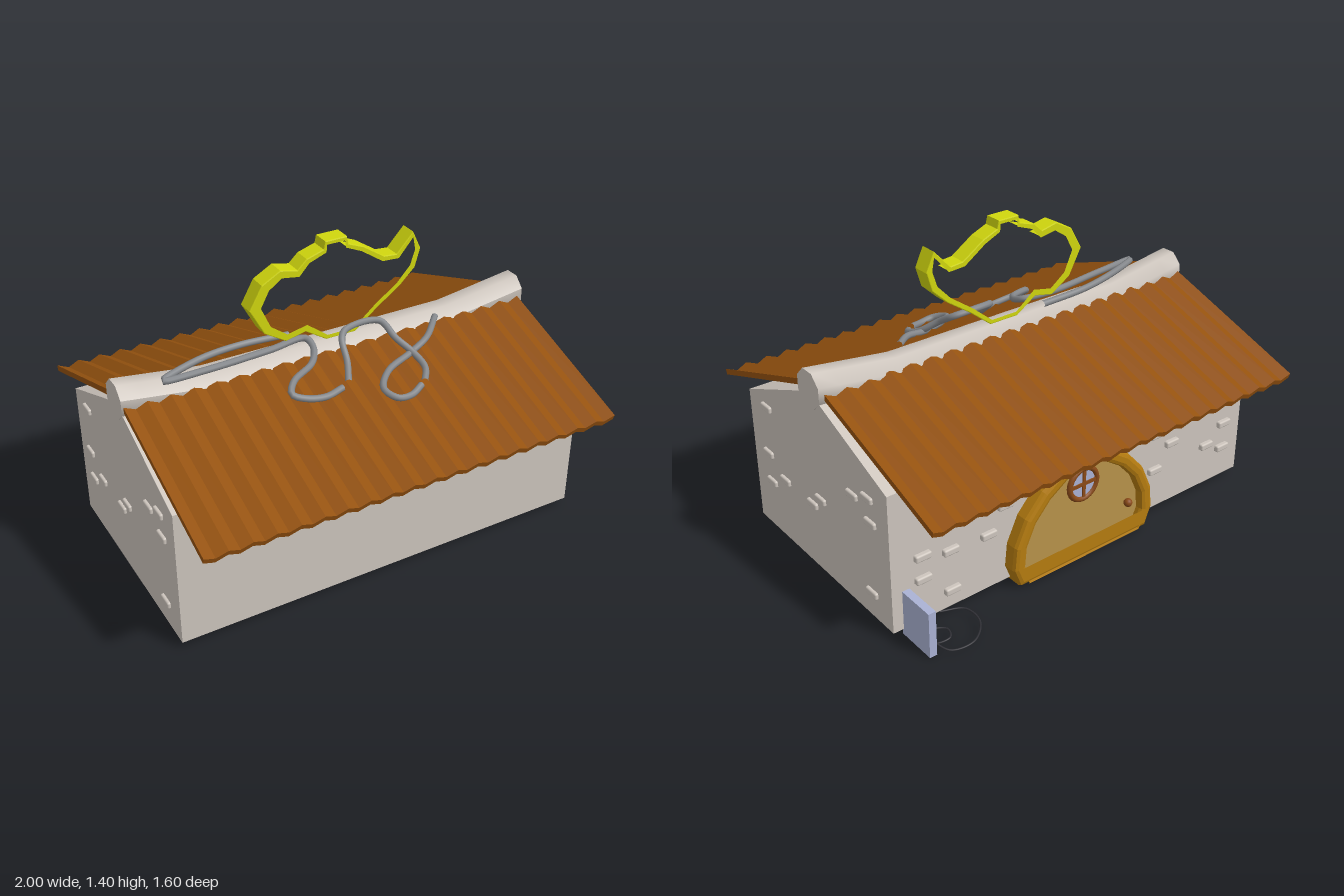
import * as THREE from 'three';
import { RoundedBoxGeometry } from 'three/addons/geometries/RoundedBoxGeometry.js';

const mat = (name, color) => {
  const m = new THREE.MeshStandardMaterial({ color });
  m.name = name;
  return m;
};
const V2 = (p) => new THREE.Vector2(p[0], p[1]);
const V3 = (p) => new THREE.Vector3(...p);
const extrude = (shape, depth, bevel = 0) => new THREE.ExtrudeGeometry(shape, {
  depth, bevelEnabled: bevel > 0, bevelSize: bevel, bevelThickness: bevel, bevelOffset: -bevel, bevelSegments: 2, curveSegments: 24,
});

export function createModel() {
  const stone = mat('stone', 0xcdc5bd);
  const roofBrown = mat('roof brown', 0x95520f);
  const signYellow = mat('sign yellow', 0xd0d60e);
  const cableGrey = mat('cable grey', 0x85888c);
  const frameWood = mat('frame wood', 0xb57c10);
  const doorWood = mat('door wood', 0xb8924a);
  const trim = mat('trim brown', 0x8a4a18);
  const lilac = mat('lilac metal', 0xaab2d4);
  const dark = mat('dark', 0x303036);

  const model = new THREE.Group();
  model.name = 'house';
  const add = (name, geometry, material, x = 0, y = 0, z = 0, parent = model) => {
    const m = new THREE.Mesh(geometry, material);
    m.name = name;
    m.position.set(x, y, z);
    parent.add(m);
    return m;
  };

  // Walls: gable profile extruded along x
  const gable = new THREE.Shape([[-0.532, 0.03], [0.532, 0.03], [0.532, 0.675], [0.08, 0.862], [-0.08, 0.862], [-0.532, 0.675]].map(V2));
  const walls = extrude(gable, 1.972);
  walls.translate(0, 0, -0.986).rotateY(Math.PI / 2);
  add('walls', walls, stone);

  // Ridge cap: eight-sided bar that sags in the middle
  const ridge = new THREE.CylinderGeometry(0.087, 0.087, 1.98, 8, 20);
  ridge.rotateY(Math.PI / 8).rotateZ(Math.PI / 2);
  const rp = ridge.attributes.position;
  for (let i = 0; i < rp.count; i++) {
    const t = Math.min(1, (0.99 - Math.abs(rp.getX(i))) / 0.39);
    rp.setY(i, rp.getY(i) - 0.055 * t);
  }
  ridge.computeVertexNormals();
  add('ridgeCap', ridge, stone, 0, 0.906, -0.003);

  // Corrugated roof slabs, one per side
  const teeth = 19, roofW = 1.945, top = [], bottom = [];
  for (let i = 0; i <= teeth * 2; i++) {
    const x = -roofW / 2 + (roofW * i) / (teeth * 2);
    const zig = i % 2 ? -0.011 : 0.011;
    top.push(new THREE.Vector2(x, zig + 0.013));
    bottom.push(new THREE.Vector2(x, zig - 0.013));
  }
  const slab = extrude(new THREE.Shape([...bottom, ...top.reverse()]), 0.766);
  slab.rotateX(0.338);
  for (const side of [1, -1]) {
    const pivot = new THREE.Group();
    pivot.name = side > 0 ? 'frontRoof' : 'backRoof';
    pivot.position.x = -0.008;
    pivot.rotation.y = side > 0 ? 0 : Math.PI;
    add('roofSlab', slab, roofBrown, 0, 0.885, 0.07, pivot);
    model.add(pivot);
  }

  // Raised bricks on both gables and on the back wall
  const brick = new RoundedBoxGeometry(0.076, 0.032, 0.03, 2, 0.008);
  const gableBricks = [[0.38, 0.65], [0.40, 0.416], [0.265, 0.343], [0.39, 0.275], [0.04, 0.343],
    [-0.03, 0.40], [-0.285, 0.558], [-0.395, 0.60], [-0.41, 0.493], [-0.395, 0.15]];
  for (const side of [1, -1]) {
    for (const [z, y] of gableBricks) {
      add('gableBrick', brick, stone, side * 0.985, y, side * z).rotation.y = Math.PI / 2;
    }
  }
  const backBricks = [[0.84, 0.343], [0.84, 0.235], [0.705, 0.31], [0.70, 0.115], [0.515, 0.30], [0.43, 0.41],
    [-0.427, 0.42], [-0.427, 0.235], [-0.527, 0.343], [-0.76, 0.24], [-0.87, 0.32], [-0.87, 0.19]];
  for (const [x, y] of backBricks) add('backBrick', brick, stone, x, y, -0.538);

  // Arched door on the back wall
  const door = new THREE.Group();
  door.name = 'door';
  door.position.set(0.03, 0.01, 0);
  model.add(door);
  const half = [[0.36, 0], [0.395, 0.09], [0.385, 0.2], [0.33, 0.32], [0.24, 0.42], [0.12, 0.5]];
  const arch = [...half, [0, 0.522], ...half.slice().reverse().map(([x, y]) => [-x, y])];
  const inner = arch.map(([x, y]) => [x * 0.84, 0.02 + y * 0.83]);
  const frameShape = new THREE.Shape(arch.map(V2));
  frameShape.holes.push(new THREE.Path(inner.map(V2)));
  add('doorFrame', extrude(frameShape, 0.22, 0.02), frameWood, 0, 0, -0.58, door);
  add('doorPanel', extrude(new THREE.Shape(arch.map(([x, y]) => V2([x * 0.87, 0.012 + y * 0.87]))), 0.2), doorWood, 0, 0, -0.56, door);
  add('doorKnob', new THREE.SphereGeometry(0.02, 14, 10), trim, -0.265, 0.15, -0.575, door);

  // Round door window with crossed bars
  const windowGroup = new THREE.Group();
  windowGroup.name = 'doorWindow';
  windowGroup.position.set(0, 0.355, -0.565);
  door.add(windowGroup);
  const pane = new THREE.CylinderGeometry(0.075, 0.075, 0.008, 24);
  pane.rotateX(Math.PI / 2);
  add('pane', pane, lilac, 0, 0, 0, windowGroup);
  add('windowRim', new THREE.TorusGeometry(0.075, 0.014, 8, 24), trim, 0, 0, 0, windowGroup);
  add('barUpright', new THREE.BoxGeometry(0.016, 0.15, 0.02), trim, 0, 0, 0, windowGroup);
  add('barAcross', new THREE.BoxGeometry(0.15, 0.016, 0.02), trim, 0, 0, 0, windowGroup);

  // Rooftop sign: ribbon following an outline, [x, y, half width]
  const line = [[-0.03, 0.945, 0.008], [-0.13, 1.015, 0.014], [-0.225, 0.995, 0.014], [-0.315, 1.055, 0.018], [-0.37, 1.165, 0.024],
    [-0.32, 1.255, 0.02], [-0.245, 1.3, 0.016], [-0.165, 1.285, 0.014], [-0.12, 1.33, 0.01], [-0.04, 1.357, 0.008],
    [-0.035, 1.392, 0.007], [0.065, 1.392, 0.007], [0.07, 1.357, 0.008], [0.145, 1.325, 0.009], [0.25, 1.255, 0.01],
    [0.32, 1.25, 0.01], [0.398, 1.335, 0.01], [0.425, 1.26, 0.012], [0.40, 1.18, 0.013], [0.33, 1.11, 0.01],
    [0.215, 1.03, 0.009], [0.11, 0.945, 0.008]];
  const offset = (sign) => line.map(([x, y, w], i) => {
    const a = line[(i + line.length - 1) % line.length], b = line[(i + 1) % line.length];
    const d = new THREE.Vector2(b[0] - a[0], b[1] - a[1]).normalize();
    return new THREE.Vector2(x - d.y * w * sign, y + d.x * w * sign);
  });
  const signShape = new THREE.Shape(offset(1));
  signShape.holes.push(new THREE.Path(offset(-1)));
  add('roofSign', extrude(signShape, 0.074, 0.004), signYellow, 0, 0, -0.037);

  // Loose cables draped over the ridge and front roof
  const tube = (name, pts, r, material) => add(name,
    new THREE.TubeGeometry(new THREE.CatmullRomCurve3(pts.map(V3)), pts.length * 8, r, 8), material);
  const cables = [
    [[-0.17, 0.955, -0.05], [-0.4, 0.965, -0.055], [-0.6, 0.972, -0.02], [-0.8, 0.968, 0.06], [-0.6, 0.96, 0.055], [-0.3, 0.955, 0.03],
      [-0.13, 0.965, 0.03], [-0.12, 0.945, 0.08], [-0.17, 0.92, 0.16], [-0.29, 0.895, 0.22], [-0.32, 0.865, 0.26],
      [-0.27, 0.845, 0.29], [-0.18, 0.832, 0.3], [-0.09, 0.838, 0.28]],
    [[-0.05, 0.845, 0.26], [-0.01, 0.89, 0.18], [0.01, 0.955, 0.1], [0.05, 0.975, 0.065], [0.22, 0.972, 0.065],
      [0.25, 0.92, 0.15], [0.3, 0.865, 0.22], [0.31, 0.83, 0.3], [0.27, 0.805, 0.36]],
    [[0.51, 0.92, 0.07], [0.4, 0.89, 0.17], [0.29, 0.862, 0.21], [0.14, 0.845, 0.27], [0.07, 0.82, 0.35],
      [0.1, 0.8, 0.41], [0.17, 0.792, 0.41], [0.24, 0.805, 0.38]],
  ];
  for (const c of cables) tube('roofCable', c, 0.015, cableGrey);

  // Utility box beside the back wall, with a button grid and trailing wires
  add('utilityBox', new THREE.BoxGeometry(0.034, 0.212, 0.186), lilac, 0.92, 0.107, -0.617);
  for (let i = 0; i < 9; i++) {
    add('boxButton', new THREE.BoxGeometry(0.008, 0.02, 0.028), dark, 0.901, 0.115 + 0.03 * Math.floor(i / 3), -0.657 + 0.04 * (i % 3));
  }
  tube('looseWire', [[0.9, 0.04, -0.66], [0.86, 0.02, -0.74], [0.76, 0.025, -0.76], [0.67, 0.028, -0.68],
    [0.67, 0.028, -0.58], [0.76, 0.025, -0.53]], 0.004, dark);
  tube('looseWire', [[0.9, 0.05, -0.6], [0.85, 0.015, -0.58], [0.79, 0.012, -0.62], [0.82, 0.02, -0.68],
    [0.88, 0.012, -0.66], [0.84, 0.03, -0.6]], 0.004, dark);
  return model;
}
